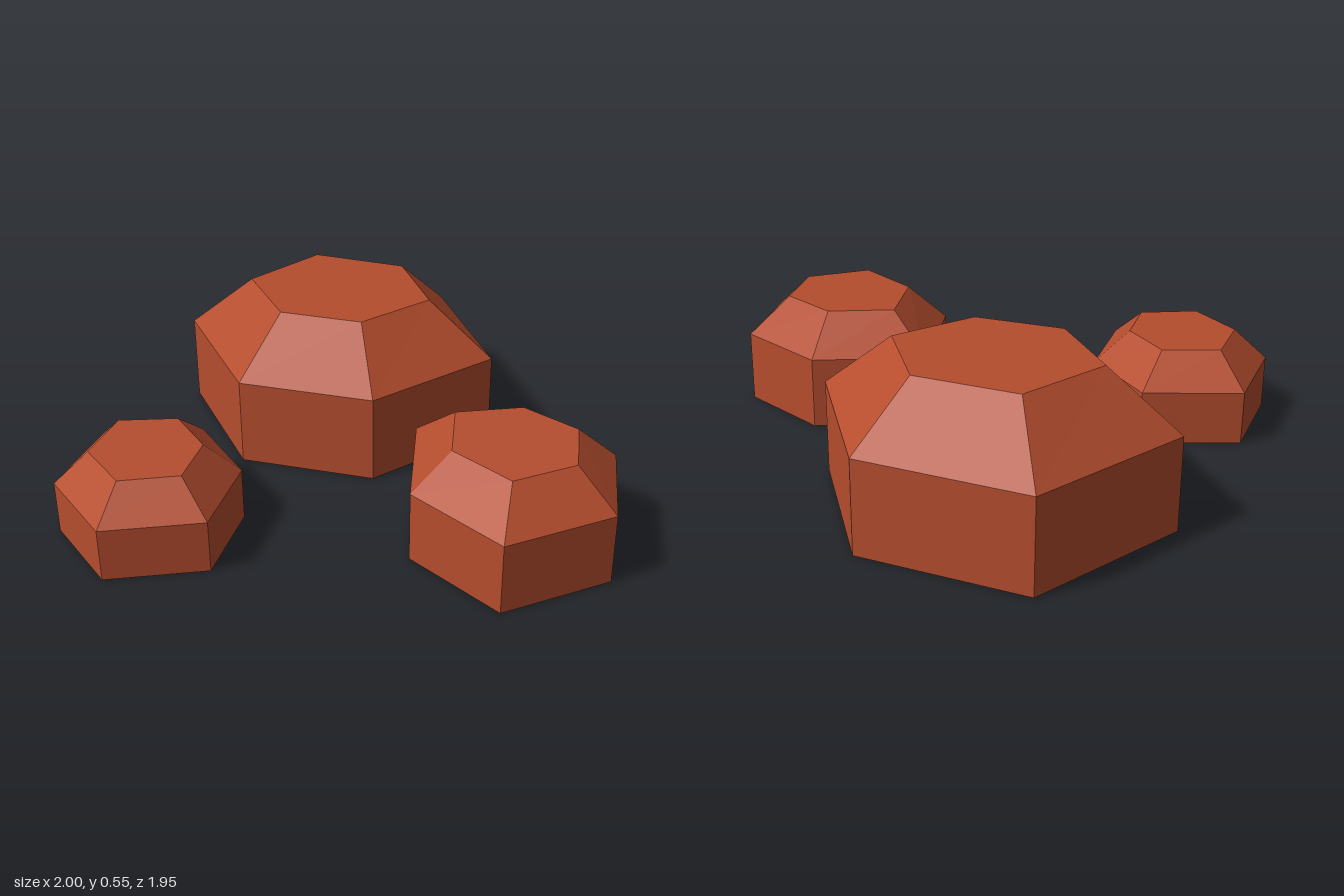
import * as THREE from 'three';

// Each boulder: outline of the upright wall and of the flat top, as [x, z] clockwise from above
const BOULDERS = [
  {
    name: 'largeBoulder', shoulder: 0.34, height: 0.552,
    base: [[-0.818, -0.869], [-0.219, -0.976], [0.214, -0.559], [-0.027, -0.04], [-0.535, 0.088], [-1, -0.27]],
    top: [[-0.652, -0.682], [-0.289, -0.751], [-0.043, -0.516], [-0.176, -0.217], [-0.487, -0.142], [-0.754, -0.345]],
  },
  {
    name: 'mediumBoulder', shoulder: 0.268, height: 0.408,
    base: [[0.15, -0.051], [0.487, -0.307], [0.856, -0.233], [1, 0.131], [0.743, 0.473], [0.337, 0.35]],
    top: [[0.326, -0.008], [0.524, -0.158], [0.754, -0.11], [0.84, 0.11], [0.69, 0.307], [0.433, 0.233]],
  },
  {
    name: 'smallBoulder', shoulder: 0.2, height: 0.32,
    base: [[-0.909, 0.447], [-0.6, 0.243], [-0.31, 0.414], [-0.225, 0.746], [-0.519, 0.971], [-0.84, 0.81]],
    top: [[-0.781, 0.505], [-0.6, 0.388], [-0.412, 0.495], [-0.358, 0.698], [-0.53, 0.832], [-0.738, 0.73]],
  },
];

// Joins three rings into a faceted shell with a flat cap and an open underside
function boulderGeometry({ base, top, shoulder, height }) {
  const ring = (outline, y) => outline.map(([x, z]) => [x, y, z]);
  const rings = [ring(base, 0), ring(base, shoulder), ring(top, height)];
  const n = base.length;
  const positions = [];
  const triangle = (a, b, c) => positions.push(...a, ...b, ...c);

  // Upright wall, then sloping shoulder
  for (let r = 0; r < 2; r++) {
    const low = rings[r], high = rings[r + 1];
    for (let i = 0; i < n; i++) {
      const j = (i + 1) % n;
      triangle(low[j], low[i], high[i]);
      triangle(low[j], high[i], high[j]);
    }
  }
  // Flat cap
  const cap = rings[2];
  for (let i = 1; i < n - 1; i++) triangle(cap[0], cap[i + 1], cap[i]);

  const geometry = new THREE.BufferGeometry();
  geometry.setAttribute('position', new THREE.Float32BufferAttribute(positions, 3));
  geometry.computeVertexNormals();
  return geometry;
}

export function createModel() {
  const group = new THREE.Group();
  group.name = 'boulders';
  const rust = new THREE.MeshStandardMaterial({
    name: 'rust red rock', color: 0xb54d2e, flatShading: true, side: THREE.DoubleSide,
  });
  for (const boulder of BOULDERS) {
    const mesh = new THREE.Mesh(boulderGeometry(boulder), rust);
    mesh.name = boulder.name;
    group.add(mesh);
  }
  return group;
}
